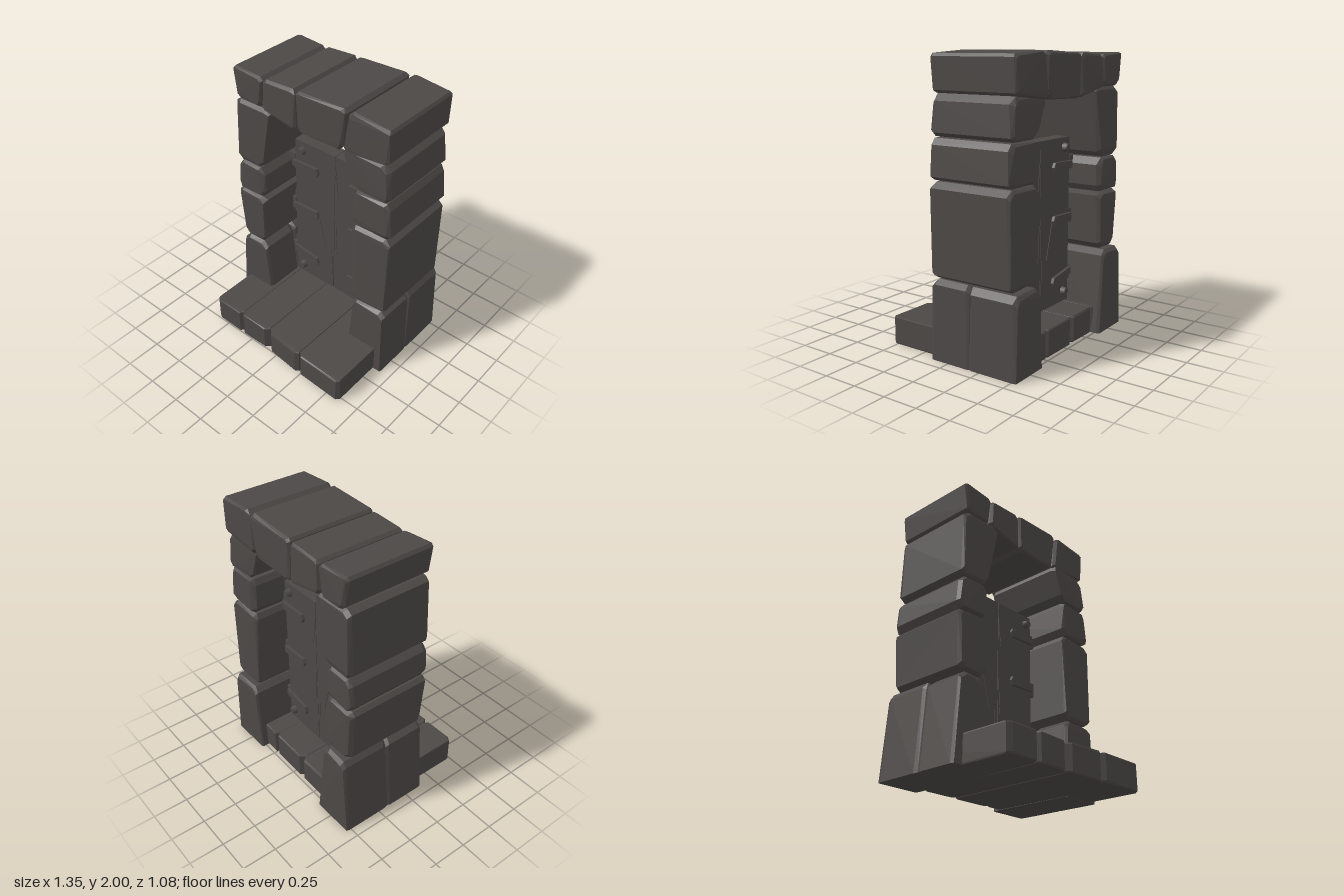
import * as THREE from 'three';
import { ConvexGeometry } from 'three/addons/geometries/ConvexGeometry.js';

const stoneGrey = new THREE.MeshStandardMaterial({ color: 0x4c4846 });
stoneGrey.name = 'dark stone grey';

// Small seeded generator for uneven stone corners
let seed = 7;
const rand = () => (seed = (seed * 16807) % 2147483647) / 2147483647;

function addMesh(parent, name, geometry, x = 0, y = 0, z = 0) {
  const mesh = new THREE.Mesh(geometry, stoneGrey);
  mesh.name = name;
  mesh.position.set(x, y, z);
  parent.add(mesh);
  return mesh;
}

// Hewn block: four corners, each cut off unevenly, run from zBack to zFront with chipped ends
function hewn(corners, zBack, zFront, bevel = 0.03, cut = 0.035) {
  const centre = new THREE.Vector2();
  corners.forEach((c) => centre.addScaledVector(c, 0.25));
  const points = [];
  corners.forEach((corner, i) => {
    for (const next of [corners[(i + 1) % 4], corners[(i + 3) % 4]]) {
      const amount = corner.y === 0 ? 0 : cut * (0.6 + 0.8 * rand());
      const p = corner.clone().lerp(next, amount / corner.distanceTo(next));
      const inner = p.clone().lerp(centre, bevel * (0.4 + 0.6 * rand()) / p.distanceTo(centre));
      for (const [z, dir] of [[zBack, 1], [zFront, -1]]) {
        points.push(new THREE.Vector3(inner.x, corner.y === 0 ? 0 : inner.y, z + dir * bevel * 0.4 * rand()));
        points.push(new THREE.Vector3(p.x, p.y, z + dir * bevel * (0.6 + 0.8 * rand())));
      }
    }
  });
  return new ConvexGeometry(points);
}

const vec = (x, y) => new THREE.Vector2(x, y);

// Stacked jamb: each joint is [height, outer x, inner x]
function addJamb(parent, name, joints) {
  const jamb = new THREE.Group();
  jamb.name = name;
  parent.add(jamb);
  for (let i = 0; i < joints.length - 1; i++) {
    const [y0, out0, in0] = joints[i];
    const [y1, out1, in1] = joints[i + 1];
    const bottom = i ? y0 + 0.004 : 0;
    const corners = [vec(out0, bottom), vec(in0, bottom), vec(in1, y1 - 0.004), vec(out1, y1 - 0.004)];
    if (i) {
      addMesh(jamb, 'jambStone' + i, hewn(corners, -0.5, 0.14));
    } else {
      addMesh(jamb, 'baseStoneFront', hewn(corners, -0.175, 0.14));
      addMesh(jamb, 'baseStoneBack', hewn(corners, -0.54, -0.165));
    }
  }
}

function addPlate(parent, name, points, depth, z) {
  const geometry = new THREE.ExtrudeGeometry(new THREE.Shape(points), { depth, bevelEnabled: false });
  return addMesh(parent, name, geometry, 0, 0, z);
}

export function createModel() {
  const model = new THREE.Group();
  model.name = 'stoneDoorway';

  // Jambs
  addJamb(model, 'rightJamb', [[0, -0.68, -0.36], [0.6, -0.64, -0.42], [1.015, -0.67, -0.41], [1.26, -0.65, -0.41], [1.755, -0.64, -0.32]]);
  addJamb(model, 'leftJamb', [[0, 0.67, 0.36], [0.55, 0.66, 0.39], [1.19, 0.67, 0.37], [1.465, 0.65, 0.37], [1.74, 0.63, 0.27]]);

  // Lintel: each joint is [lower x, lower y, upper x, upper y]
  const lintelJoints = [[-0.62, 1.75, -0.655, 1.98], [-0.4, 1.75, -0.385, 1.965], [-0.1, 1.69, -0.105, 1.98], [0.275, 1.7, 0.315, 2], [0.63, 1.74, 0.64, 1.98]];
  for (let i = 0; i < 4; i++) {
    const [ax, ay, bx, by] = lintelJoints[i];
    const [cx, cy, dx, dy] = lintelJoints[i + 1];
    const corners = [vec(ax + 0.004, ay), vec(cx - 0.004, cy), vec(dx - 0.004, dy), vec(bx + 0.004, by)];
    addMesh(model, 'lintelStone' + (i + 1), hewn(corners, -0.52, 0.14, 0.025, 0.025));
  }

  // Step: each joint is [x, front z]; the slabs lie flat and run back as the sill
  const stepJoints = [[-0.61, 0.5], [-0.35, 0.5], [-0.085, 0.5], [0.23, 0.53], [0.61, 0.54]];
  for (let i = 0; i < 4; i++) {
    const [x0, z0] = stepJoints[i];
    const [x1, z1] = stepJoints[i + 1];
    const corners = [vec(x0, -z0), vec(x1, -z1), vec(x1, 0.48), vec(x0, 0.48)];
    const slab = hewn(corners, 0, 0.197, 0.012, 0.03);
    addMesh(model, 'stepSlab' + (i + 1), slab.rotateX(-Math.PI / 2));
  }

  // Door: two heavy planks with a narrow seam
  const door = new THREE.Group();
  door.name = 'door';
  door.position.z = -0.21;
  model.add(door);
  const half = 0.055;
  addMesh(door, 'rightPlank', new THREE.BoxGeometry(0.361, 1.19, 2 * half), -0.1895, 0.805, 0);
  addMesh(door, 'leftPlank', new THREE.BoxGeometry(0.345, 1.19, 2 * half), 0.1675, 0.805, 0);

  // Each crack is [x, y, length, tilt]
  const cracks = [[-0.12, 0.69, 0.27, 0.25], [0.012, 0.69, 0.27, 0.06], [-0.022, 0.4, 0.34, 0.06], [0.008, 1.2, 0.28, 0.12]];
  const strapShape = [[0, -0.025], [0.22, -0.032], [0.235, 0], [0.22, 0.032], [0, 0.025]];
  for (const face of [1, -1]) {
    // Cracks, bolts and hinge straps on both faces
    for (const [x, y, length, tilt] of cracks) {
      addMesh(door, 'crack', new THREE.BoxGeometry(0.01, length, 0.004), x, y, face * (half + 0.002)).rotation.z = tilt;
    }
    for (const y of [0.29, 1.33]) for (const x of [-0.3, 0.285]) {
      const bolt = addMesh(door, 'bolt', new THREE.CylinderGeometry(0.026, 0.034, 0.035, 6), x, y, face * (half + 0.0175));
      bolt.rotation.x = face * Math.PI / 2;
    }
    for (const side of [-1, 1]) for (const y of [0.41, 0.83, 1.205]) {
      const droop = y < 0.5 ? 0.2 : 0;
      const points = strapShape.map(([x, h]) => vec(side < 0 ? x - 0.38 : 0.35 - x, y + h + droop * (0.1 - x)));
      addPlate(door, 'hingeStrap', points, 0.022, face > 0 ? half : -half - 0.022);
    }
  }

  // Hinge barrels, knuckles and the brackets tying them to the jambs
  for (const side of [-1, 1]) for (const y of [0.41, 0.83, 1.215]) {
    const x = side < 0 ? -0.39 : 0.355;
    addMesh(door, 'hingeBarrel', new THREE.CylinderGeometry(0.022, 0.022, 0.2, 8), x, y, 0);
    for (const dy of [-0.07, 0, 0.07]) {
      addMesh(door, 'hingeKnuckle', new THREE.CylinderGeometry(0.032, 0.032, 0.04, 8), x, y + dy, 0);
    }
    addMesh(door, 'hingeBracket', new THREE.BoxGeometry(0.05, 0.1, 0.1), x + side * 0.018, y, 0);
  }
  return model;
}
